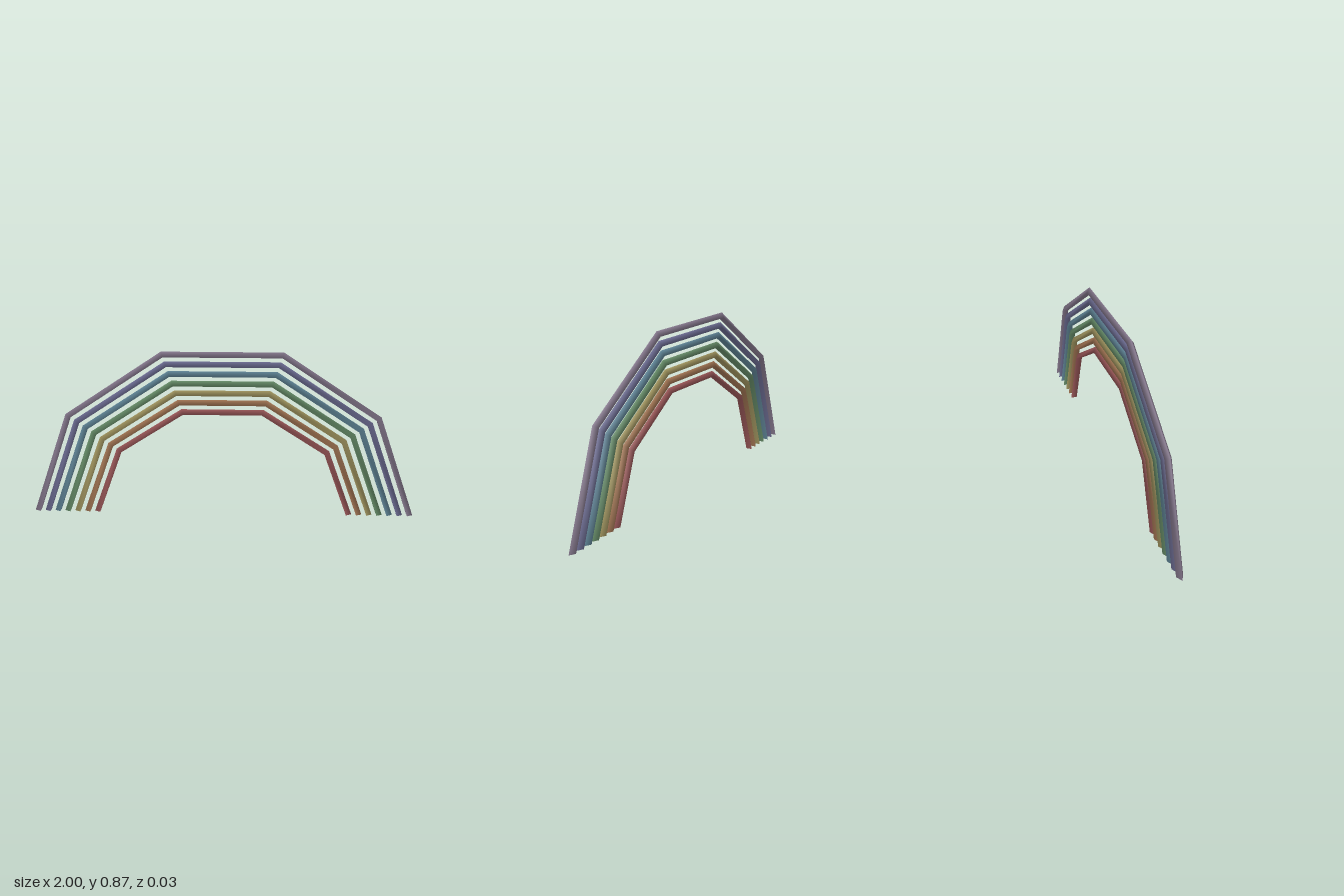
import * as THREE from 'three';

const BANDS = [
  ['violet', 0x85788d], ['indigo', 0x6c6c92], ['blue', 0x5f8496], ['green', 0x668c68],
  ['yellow', 0xa1955f], ['orange', 0xa27553], ['red', 0x9a5758],
];
const TUBE = 0.02; // radius of the three-sided section, ridge pointing outwards

export function createModel() {
  const model = new THREE.Group();
  model.name = 'rainbow';

  BANDS.forEach(([name, color], i) => {
    const halfWidth = 1 - 0.0533 * i;   // outer reach along x
    const halfHeight = 0.91 - 0.0523 * i; // outer ellipse radius along y
    const centre = halfWidth - TUBE;
    const material = new THREE.MeshStandardMaterial({ color, side: THREE.DoubleSide });
    const band = new THREE.Group();
    band.name = name + 'Band';

    // Five-segment arch, slightly flattened
    const arch = new THREE.Mesh(
      new THREE.TorusGeometry(centre, TUBE, 3, 5, Math.PI).scale(1, halfHeight / halfWidth, 1),
      material);
    arch.name = name + 'Arch';
    band.add(arch);

    // Triangular end caps on the ground
    for (const side of [1, -1]) {
      const geometry = new THREE.CircleGeometry(TUBE, 3);
      if (side < 0) geometry.rotateZ(Math.PI);
      geometry.rotateX(Math.PI / 2);
      const cap = new THREE.Mesh(geometry, material);
      cap.position.x = side * centre;
      cap.name = name + (side > 0 ? 'LeftEnd' : 'RightEnd');
      band.add(cap);
    }
    model.add(band);
  });
  return model;
}
